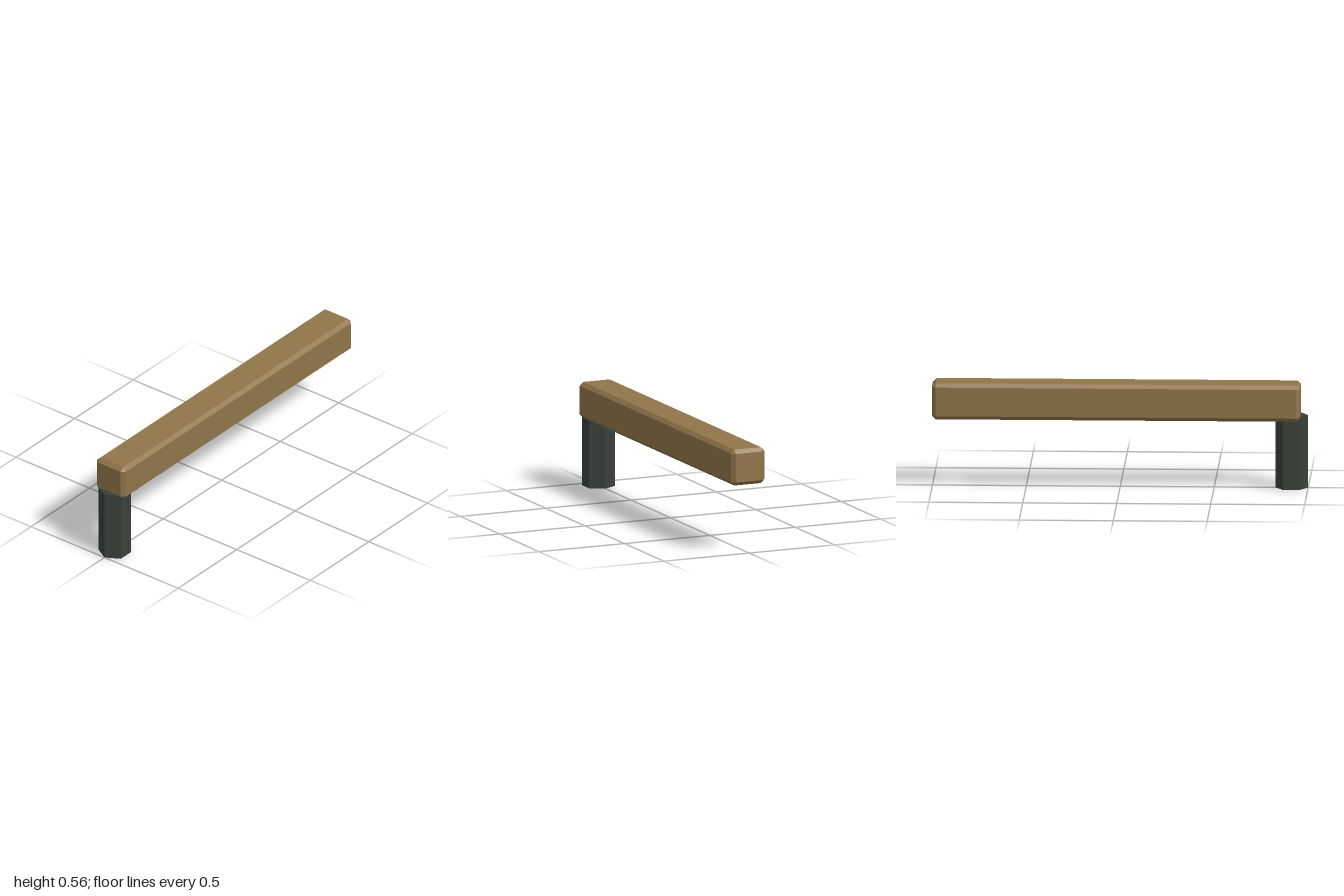
import * as THREE from 'three';
import { ConvexGeometry } from 'three/addons/geometries/ConvexGeometry.js';

// Box with every edge and corner cut flat
function chamferedBox(w, h, d, c) {
  const points = [];
  for (const sx of [-1, 1]) for (const sy of [-1, 1]) for (const sz of [-1, 1]) {
    const x = w / 2, y = h / 2, z = d / 2;
    points.push(
      new THREE.Vector3(sx * x, sy * (y - c), sz * (z - c)),
      new THREE.Vector3(sx * (x - c), sy * y, sz * (z - c)),
      new THREE.Vector3(sx * (x - c), sy * (y - c), sz * z),
    );
  }
  return new ConvexGeometry(points);
}

export function createModel() {
  const model = new THREE.Group();
  model.name = 'beamOnPost';

  const wood = new THREE.MeshStandardMaterial({ name: 'wood', color: 0x90754a });
  const darkMetal = new THREE.MeshStandardMaterial({ name: 'darkMetal', color: 0x39413a });

  // Long bevelled beam
  const beam = new THREE.Mesh(chamferedBox(0.196, 0.195, 1.96, 0.02), wood);
  beam.name = 'beam';
  beam.position.set(0, 0.4675, -0.02);

  // Six-sided post under the front end, with one edge facing forward
  const postGeometry = new THREE.CylinderGeometry(0.0875, 0.0875, 0.393, 6).toNonIndexed();
  postGeometry.computeVertexNormals();
  const post = new THREE.Mesh(postGeometry, darkMetal);
  post.name = 'post';
  post.position.set(0, 0.1965, 0.9125);

  model.add(beam, post);
  return model;
}
